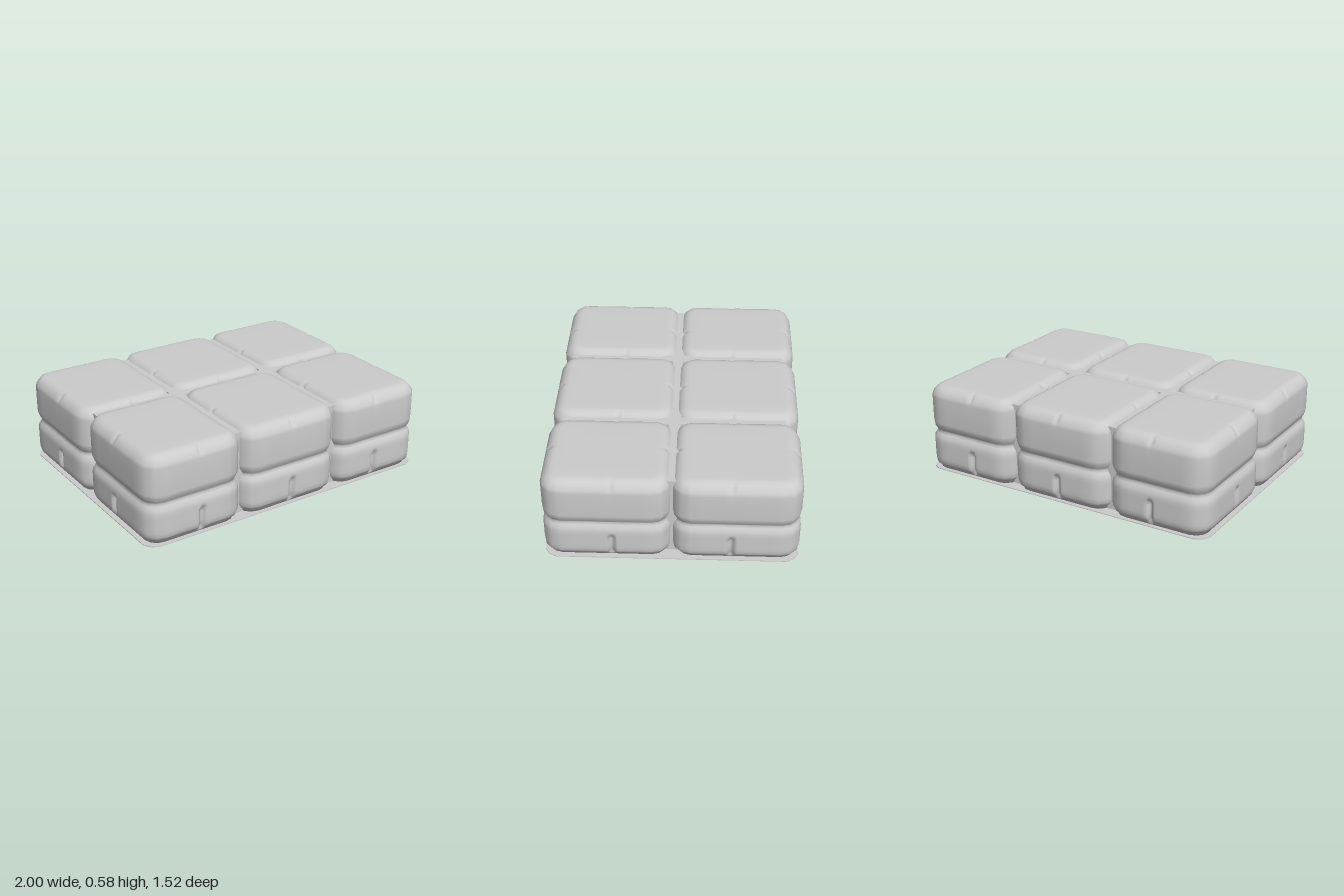
import * as THREE from 'three';

const material = new THREE.MeshStandardMaterial({ color: 0xcccccc, roughness: 0.8 });

// soft bump: 1 at the centre, 0 beyond the half width
const bump = (d, w) => (Math.abs(d) < w ? 0.5 + 0.5 * Math.cos((Math.PI * d) / w) : 0);

// [inset, height] going up the wall: tucked foot, lower bulge, waist, upper bulge, bevel
const PROFILE = [
  [0.035, 0.013], [0.03, 0.03], [0.012, 0.045], [0.002, 0.065], [0, 0.09], [0, 0.12], [0, 0.15],
  [0, 0.17], [0, 0.185], [0, 0.21], [0.004, 0.235], [0.017, 0.255], [0.026, 0.27], [0.018, 0.285],
  [0.004, 0.31], [0, 0.335], [0, 0.42], [0, 0.5], [0.006, 0.522], [0.02, 0.545], [0.038, 0.563], [0.06, 0.572],
];
// [scale of the last wall ring, height] across the nearly flat top
const CROWN = [[0.93, 0.574], [0.75, 0.575], [0.4, 0.576]];

// positions along a side, dense around the middle for the dimples
const STEPS = [-1, -0.75, -0.5, -0.35];
for (let k = -9; k <= 9; k++) STEPS.push(k * 0.03);
STEPS.push(0.35, 0.5, 0.75, 1);

// rounded rectangle seen from above; u is the distance to the dimple along each side
function outline(hx, hz, radius, dimpleX, dimpleZ) {
  const pts = [];
  for (let k = 0; k < 4; k++) {
    const a = (k * Math.PI) / 2, c = Math.round(Math.cos(a)), s = Math.round(Math.sin(a));
    const reach = k % 2 ? hz : hx;
    const half = (k % 2 ? hx : hz) - radius;
    const addPoint = (out, t, angle) => {
      const x = c * out - s * t, z = s * out + c * t;
      const ca = Math.cos(angle), sa = Math.sin(angle);
      pts.push({ x, z, nx: c * ca - s * sa, nz: s * ca + c * sa, u: k % 2 ? x - dimpleX : z - dimpleZ });
    };
    for (const f of STEPS) addPoint(reach, f * half, 0);
    for (let j = 1; j < 3; j++) {
      const b = (j / 3) * Math.PI / 2;
      addPoint(reach - radius + radius * Math.cos(b), half + radius * Math.sin(b), b);
    }
  }
  return pts;
}

function pillowGeometry(hx, hz, dimpleX, dimpleZ) {
  const ring = outline(hx, hz, 0.115, dimpleX, dimpleZ), n = ring.length;
  const pos = [], index = [];
  for (const [inset, y] of PROFILE) {
    for (const p of ring) {
      // small upright dimple in the lower bulge and a slight notch on the top bevel
      const dimple = y > 0.035 && y < 0.175 ? 0.026 * bump(p.u, 0.032) : 0;
      const notch = 0.01 * bump(p.u, 0.03) * bump(y - 0.545, 0.035);
      const d = inset + dimple + notch;
      pos.push(p.x - p.nx * d, y - notch * 0.5, p.z - p.nz * d);
    }
  }
  const edge = pos.length - 3 * n;
  for (const [scale, y] of CROWN) {
    for (let i = 0; i < n; i++) pos.push(pos[edge + 3 * i] * scale, y, pos[edge + 3 * i + 2] * scale);
  }
  const rows = PROFILE.length + CROWN.length;
  for (let r = 0; r < rows - 1; r++) {
    for (let i = 0; i < n; i++) {
      const a = r * n + i, b = r * n + ((i + 1) % n);
      index.push(a, a + n, b, b, a + n, b + n);
    }
  }
  // close the top and the foot with fans
  const last = (rows - 1) * n, top = rows * n;
  pos.push(0, 0.576, 0, 0, 0.013, 0);
  for (let i = 0; i < n; i++) {
    const next = (i + 1) % n;
    index.push(last + i, top, last + next, i, next, top + 1);
  }
  const g = new THREE.BufferGeometry();
  g.setAttribute('position', new THREE.Float32BufferAttribute(pos, 3));
  g.setIndex(index);
  g.computeVertexNormals();
  return g;
}

export function createModel() {
  const group = new THREE.Group();
  const add = (name, geometry, x, y, z) => {
    const mesh = new THREE.Mesh(geometry, material);
    mesh.name = name;
    mesh.position.set(x, y, z);
    group.add(mesh);
  };

  // three by two block of padded pillows, dimples slightly nearer the middle
  const columns = [[-1, -0.345, 'Right'], [-0.345, 0.345, 'Middle'], [0.345, 1, 'Left']];
  for (const [x0, x1, label] of columns) {
    for (const [s, row] of [[1, 'front'], [-1, 'back']]) {
      const cx = (x0 + x1) / 2;
      const g = pillowGeometry((x1 - x0) / 2, 0.381, -0.045 * cx, -0.03 * s);
      add(row + 'Pillow' + label, g, cx, 0, s * 0.381);
    }
  }

  // webs filling the grooves between pillows
  for (const s of [-1, 1]) {
    add('crossWeb', new THREE.BoxGeometry(0.07, 0.53, 1.36), s * 0.345, 0.28, 0);
  }
  add('lengthWeb', new THREE.BoxGeometry(1.84, 0.53, 0.07), 0, 0.28, 0);

  // thin backing sheet with clipped corners
  const X = 1, Z = 0.755, c = 0.07, m = 0.025;
  const sheet = new THREE.Shape();
  sheet.moveTo(X, -Z + c);
  for (const [sx, sz] of [[1, 1], [-1, 1], [-1, -1], [1, -1]]) {
    const corner = [[sx * X, sz * (Z - c)], [sx * (X - m), sz * (Z - m)], [sx * (X - c), sz * Z]];
    if (sx * sz < 0) corner.reverse();
    for (const [x, z] of corner) sheet.lineTo(x, z);
  }
  const sheetGeometry = new THREE.ExtrudeGeometry(sheet, { depth: 0.005, bevelEnabled: false });
  sheetGeometry.rotateX(-Math.PI / 2);
  add('backingSheet', sheetGeometry, 0, 0.011, 0);

  // two shallow diamond pads under the sheet
  for (const s of [-1, 1]) {
    const pad = new THREE.CylinderGeometry(1, 0.82, 0.012, 4).toNonIndexed();
    pad.scale(0.09, 1, 0.105);
    pad.computeVertexNormals();
    add('underPad', pad, s * 0.345, 0.006, 0);
  }
  return group;
}
